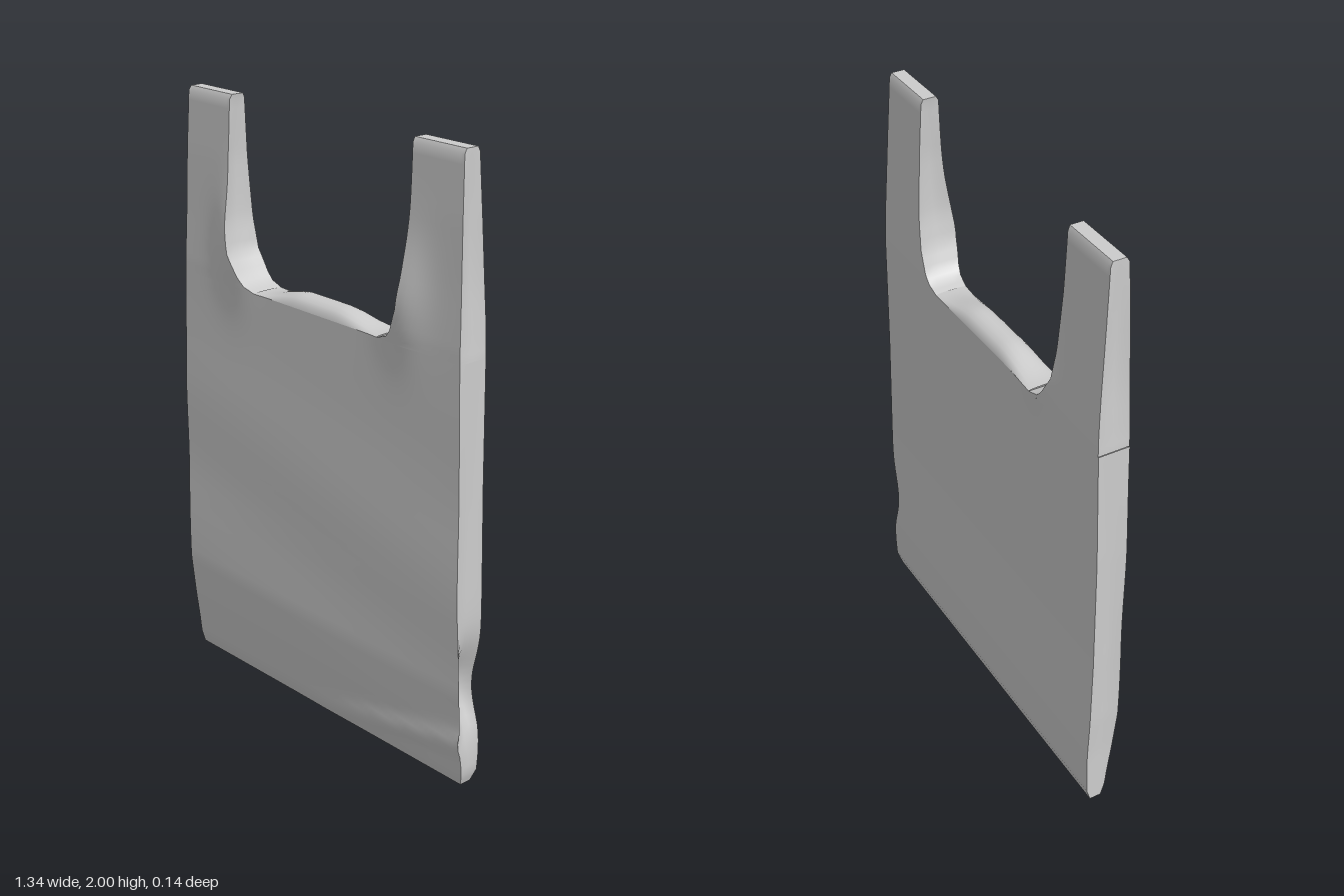
import * as THREE from 'three';
import { toCreasedNormals } from 'three/addons/utils/BufferGeometryUtils.js';

const material = new THREE.MeshStandardMaterial({ color: 0xcccccc, side: THREE.DoubleSide });
const gauss = (d, s) => Math.exp(-(d * d) / (s * s));

// Linear lookup of a row [y, xLeft, xRight, zBack, zFront]
function sample(table, y) {
  let k = 0;
  while (k < table.length - 2 && y > table[k + 1][0]) k++;
  const a = table[k], b = table[k + 1], t = (y - a[0]) / (b[0] - a[0]);
  return a.map((v, i) => v + (b[i] - v) * t);
}

// Bulges beside the mouth, soft wrinkles and the diagonal fold near the bottom
function sheetOffset(x, y, front) {
  const bulge = gauss(Math.abs(x) - 0.39, 0.09) * gauss(y - 1.54, 0.16);
  if (!front) return -0.012 * gauss(x + 0.3, 0.1) * gauss(y - 1.5, 0.16);
  const fold = 0.012 * gauss(y - 0.04 - 0.2 * Math.max(x, 0), 0.035) * THREE.MathUtils.smoothstep(x, -0.2, 0.4);
  const wrinkle = 0.003 * Math.sin(9 * y + 2.5 * x) * gauss(y - 0.7, 0.45);
  return 0.028 * bulge + fold + wrinkle;
}

function toMesh(name, positions, index) {
  const g = new THREE.BufferGeometry();
  g.setAttribute('position', new THREE.Float32BufferAttribute(positions, 3));
  g.setIndex(index);
  const mesh = new THREE.Mesh(toCreasedNormals(g, 0.8), material);
  mesh.name = name;
  return mesh;
}

// Closed flat tube: front sheet, +x side, back sheet, -x side
function flatTube(name, table, ys, cols, { capBottom, capTop, tear }) {
  const side = 4, n = 2 * (cols + side), pos = [], idx = [];
  const y0 = ys[0], y1 = ys[ys.length - 1];
  ys.forEach((y) => {
    const [, xl, xr, zb, zf] = sample(table, y);
    const inset = 0.012 * Math.sin(Math.PI * (y - y0) / (y1 - y0));
    const dent = tear ? gauss(y - 0.34, 0.13) : 0;
    const xrBack = xr - 0.045 * dent;
    const frontZ = (x) => zf + sheetOffset(x, y, true);
    const backZ = (x) => zb + sheetOffset(x, y, false);
    const lerp = THREE.MathUtils.lerp;
    const put = (x, z) => pos.push(x, y + (y < 0.1 ? 0.008 * x / 0.66 : 0), z);
    for (let i = 0; i < cols; i++) { const x = lerp(xl, xr, i / cols); put(x, frontZ(x)); }
    for (let i = 0; i < side; i++) {
      const t = i / side;
      put(lerp(xr, xrBack, t) - Math.sin(Math.PI * t) * (inset + 0.05 * dent), lerp(frontZ(xr), backZ(xrBack), t));
    }
    for (let i = 0; i < cols; i++) { const x = lerp(xrBack, xl, i / cols); put(x, backZ(x)); }
    for (let i = 0; i < side; i++) {
      const t = i / side;
      put(xl + Math.sin(Math.PI * t) * inset, lerp(backZ(xl), frontZ(xl), t));
    }
  });
  for (let r = 0; r < ys.length - 1; r++) for (let i = 0; i < n; i++) {
    const a = r * n + i, b = r * n + (i + 1) % n;
    idx.push(a, b, b + n, a, b + n, a + n);
  }
  const cap = (base, up) => {
    for (let i = 0; i < cols; i++) {
      const f0 = base + i, f1 = f0 + 1, b0 = base + 2 * cols + side - i, b1 = b0 - 1;
      if (up) idx.push(f0, f1, b1, f0, b1, b0);
      else idx.push(f0, b0, b1, f0, b1, f1);
    }
  };
  if (capBottom) cap(0, false);
  if (capTop) cap((ys.length - 1) * n, true);
  return toMesh(name, pos, idx);
}

// Rounded rim arching across the mouth between the handles
function mouthRim(y, zb, zf, halfWidth) {
  const pos = [], idx = [], cols = 32, steps = 8;
  for (let s = 0; s <= steps; s++) for (let i = 0; i <= cols; i++) {
    const x = -halfWidth + 2 * halfWidth * i / cols, a = Math.PI * s / steps;
    const h = 0.004 + 0.036 * (1 - THREE.MathUtils.smoothstep(Math.abs(x), 0.08, 0.28));
    const f = zf + sheetOffset(x, y, true), b = zb + sheetOffset(x, y, false);
    pos.push(x, y + h * Math.sin(a), (f + b) / 2 + (f - b) / 2 * Math.cos(a));
  }
  for (let s = 0; s < steps; s++) for (let i = 0; i < cols; i++) {
    const a = s * (cols + 1) + i, d = a + cols + 1;
    idx.push(a, a + 1, d + 1, a, d + 1, d);
  }
  return toMesh('mouthRim', pos, idx);
}

export function createModel() {
  const group = new THREE.Group();
  group.name = 'carrierBag';

  // Body: pinched at the bottom seam, with a sunken tear low on one side
  const body = [
    [0.008, -0.665, 0.64, -0.045, -0.005], [0.05, -0.665, 0.655, -0.058, 0.008],
    [0.2, -0.665, 0.665, -0.062, 0.028], [0.35, -0.67, 0.665, -0.06, 0.04],
    [0.6, -0.67, 0.655, -0.057, 0.043], [1.0, -0.665, 0.645, -0.056, 0.044],
    [1.39, -0.655, 0.635, -0.06, 0.043],
  ];
  const bodyYs = [0.008, 0.025, 0.05, 0.075];
  for (let i = 1; i <= 48; i++) bodyYs.push(0.075 + 1.315 * i / 48);
  group.add(flatTube('body', body, bodyYs, 56, { capBottom: true, tear: true }));
  group.add(mouthRim(1.39, -0.06, 0.043, 0.29));

  // Handles: rows of [y, outer x, inner x, zBack, zFront]
  const handle = [
    [1.39, 0.635, 0.29, -0.06, 0.043], [1.405, 0.635, 0.335, -0.06, 0.043],
    [1.43, 0.634, 0.358, -0.06, 0.043], [1.5, 0.632, 0.387, -0.058, 0.041],
    [1.6, 0.628, 0.404, -0.053, 0.038], [1.8, 0.622, 0.412, -0.042, 0.034],
    [1.985, 0.615, 0.41, -0.032, 0.027], [2, 0.614, 0.408, -0.025, 0.018],
  ];
  const handleYs = [1.39, 1.397, 1.405, 1.417, 1.43, 1.45, 1.475, 1.5];
  for (let i = 1; i <= 16; i++) handleYs.push(1.5 + 0.485 * i / 16);
  handleYs.push(2);
  const left = handle.map(([y, o, i, b, f]) => [y, i, o, b, f]);
  const right = handle.map(([y, o, i, b, f]) => [y, -o - 0.018, -i - (y > 1.45 ? 0.012 : 0), b, f]);
  group.add(flatTube('leftHandle', left, handleYs, 14, { capTop: true }));
  group.add(flatTube('rightHandle', right, handleYs, 14, { capTop: true }));
  return group;
}
